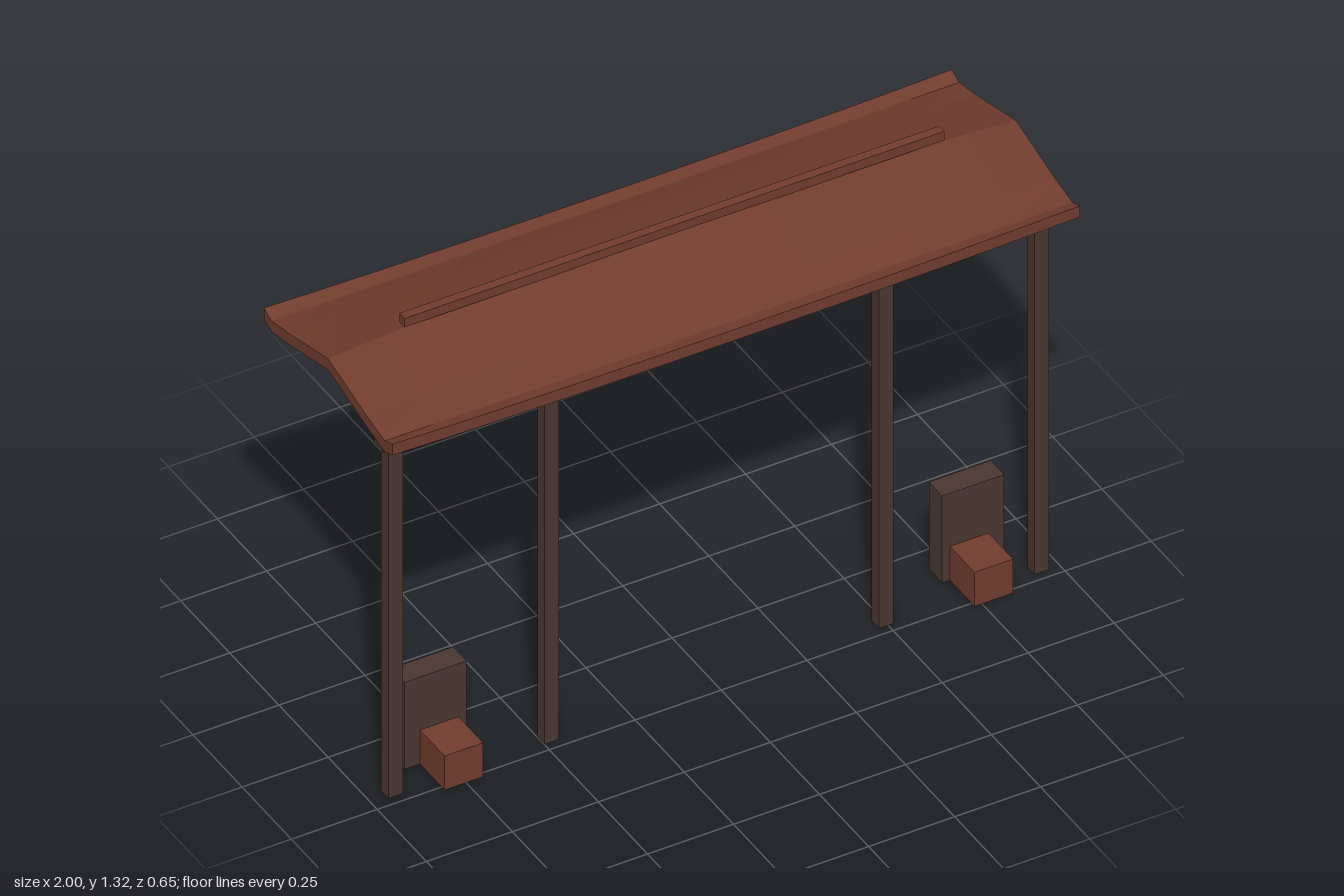
import * as THREE from 'three';

const redwood = new THREE.MeshStandardMaterial({ color: 0x713d2e, flatShading: true });
redwood.name = 'redwood';
const darkTimber = new THREE.MeshStandardMaterial({ color: 0x4a3730, flatShading: true });
darkTimber.name = 'darkTimber';

// Box given by its minimum and maximum on each axis
function box(name, material, [x0, x1], [y0, y1], [z0, z1]) {
  const mesh = new THREE.Mesh(new THREE.BoxGeometry(x1 - x0, y1 - y0, z1 - z0), material);
  mesh.position.set((x0 + x1) / 2, (y0 + y1) / 2, (z0 + z1) / 2);
  mesh.name = name;
  return mesh;
}

// Roof shell: gable section with upturned eaves, ridge sagging toward both ends
function roofGeometry() {
  const segments = 14, thickness = 0.035;
  // z, top height at mid length, top height at the ends
  const half = [[0.327, 1.198, 1.21], [0.288, 1.192, 1.195], [0.2, 1.227, 1.213], [0, 1.299, 1.265]];
  const profile = [...half, ...half.slice(0, 3).reverse().map(([z, m, e]) => [-z, m, e])];
  const n = profile.length, ring = 2 * n;
  const positions = [], index = [];
  for (let i = 0; i <= segments; i++) {
    const x = -1 + (2 * i) / segments;
    const w = Math.abs(x) ** 2.5;
    const top = profile.map(([z, m, e]) => [x, m + (e - m) * w, z]);
    const bottom = top.map(([px, y, z]) => [px, y - thickness, z]).reverse();
    for (const p of [...top, ...bottom]) positions.push(...p);
  }
  const quad = (a, b, c, d) => index.push(a, b, c, a, c, d);
  for (let i = 0; i < segments; i++) {
    for (let j = 0; j < ring; j++) {
      const k = (j + 1) % ring, s = i * ring, t = s + ring;
      quad(s + j, t + j, t + k, s + k);
    }
  }
  // gable ends
  const last = segments * ring;
  for (let j = 0; j < n - 1; j++) {
    const under = ring - 1 - j;
    quad(last + j + 1, last + j, last + under, last + under - 1);
    quad(under - 1, under, j, j + 1);
  }
  const g = new THREE.BufferGeometry();
  g.setAttribute('position', new THREE.Float32BufferAttribute(positions, 3));
  g.setIndex(index);
  const flat = g.toNonIndexed();
  flat.computeVertexNormals();
  return flat;
}

export function createModel() {
  const model = new THREE.Group();
  model.name = 'gateShelter';

  const roof = new THREE.Mesh(roofGeometry(), redwood);
  roof.name = 'roof';
  model.add(roof);
  model.add(box('ridgeCap', redwood, [-0.785, 0.785], [1.292, 1.32], [-0.013, 0.013]));

  // front beam on four posts
  model.add(box('beam', darkTimber, [-0.97, 0.986], [1.109, 1.14], [0.184, 0.23]));
  for (const x of [-0.932, -0.478, 0.494, 0.947]) {
    model.add(box('post', darkTimber, [x - 0.021, x + 0.021], [0, 1.11], [0.188, 0.225]));
  }

  // pedestals: upright slab with a small block in front
  for (const x of [-0.773, 0.79]) {
    const pedestal = new THREE.Group();
    pedestal.name = 'pedestal';
    pedestal.add(box('slab', darkTimber, [x - 0.09, x + 0.09], [0.009, 0.285], [0.082, 0.15]));
    const c = x - 0.0115 + (x < 0 ? 0.022 : 0);
    pedestal.add(box('block', redwood, [c - 0.056, c + 0.056], [0.009, 0.117], [0.14, 0.275]));
    model.add(pedestal);
  }
  return model;
}
